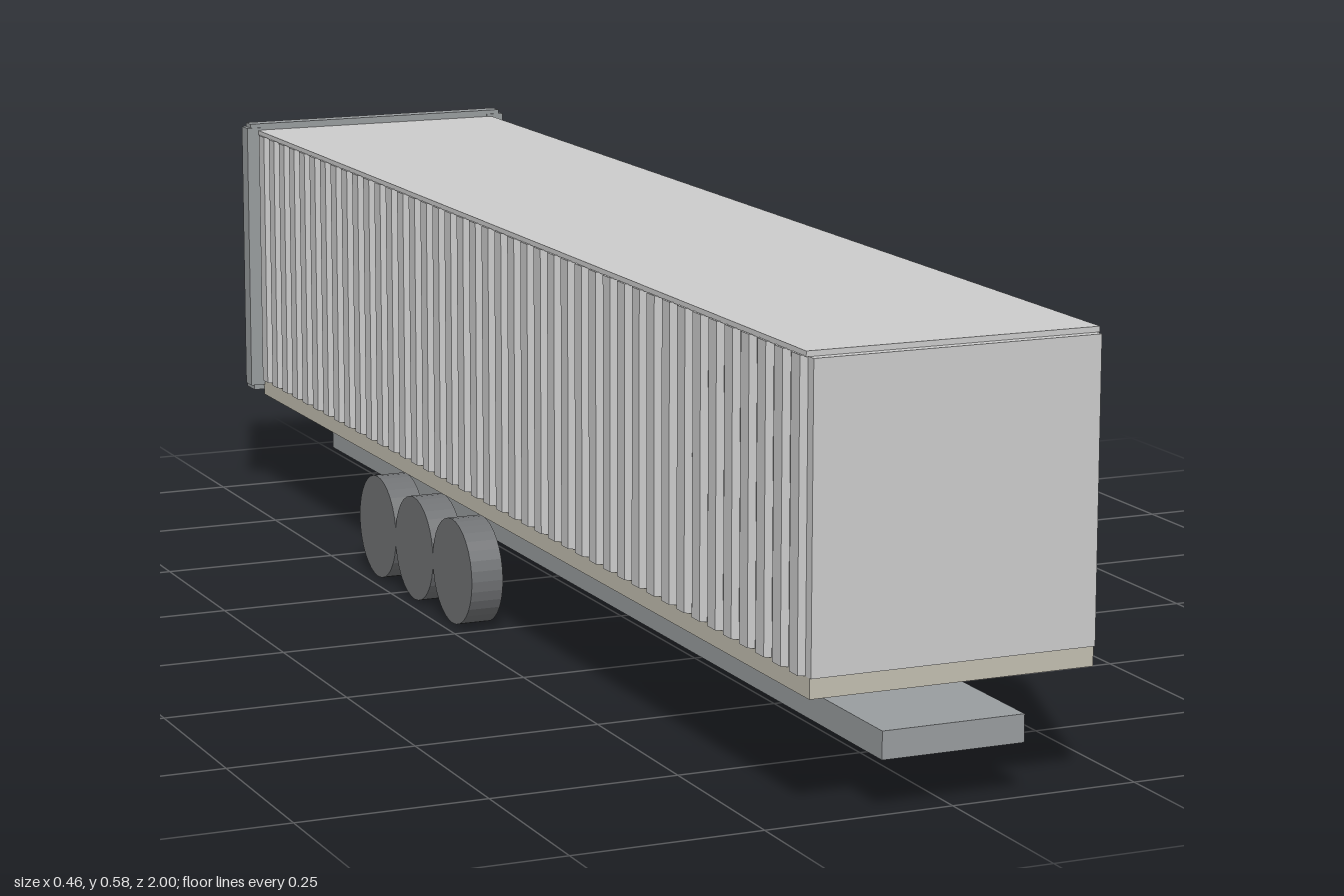
import * as THREE from 'three';

const GREY = new THREE.MeshStandardMaterial({ color: 0xcccccc, flatShading: true });
const FRAME = new THREE.MeshStandardMaterial({ color: 0x989c9e, flatShading: true });
const FLOOR = new THREE.MeshStandardMaterial({ color: 0xc2beb0, flatShading: true });
const TYRE = new THREE.MeshStandardMaterial({ color: 0x707274, flatShading: true });

// Box given by its lower and upper limits on each axis
function box(name, material, [x0, x1], [y0, y1], [z0, z1]) {
  const mesh = new THREE.Mesh(new THREE.BoxGeometry(x1 - x0, y1 - y0, z1 - z0), material);
  mesh.position.set((x0 + x1) / 2, (y0 + y1) / 2, (z0 + z1) / 2);
  mesh.name = name;
  return mesh;
}

// Thin trapezoid-corrugated sheet, extruded upwards
function corrugatedWall(side) {
  const z0 = -0.965, z1 = 0.985, count = 42, pitch = (z1 - z0) / count;
  const outer = 0.199, inner = 0.191, thickness = 0.003;
  const profile = [[0, inner], [0.26, inner], [0.38, outer], [0.88, outer]];
  const line = [];
  for (let i = 0; i < count; i++) {
    for (const [t, x] of profile) line.push([x, z0 + (i + t) * pitch]);
  }
  line.push([inner, z1]);
  const back = line.map(([x, z]) => [x - thickness, z]).reverse();
  const shape = new THREE.Shape([...line, ...back].map(([x, z]) => new THREE.Vector2(side * x, -z)));
  const geometry = new THREE.ExtrudeGeometry(shape, { depth: 0.386, bevelEnabled: false });
  geometry.rotateX(-Math.PI / 2);
  const mesh = new THREE.Mesh(geometry, GREY);
  mesh.position.y = 0.178;
  mesh.name = side > 0 ? 'leftWall' : 'rightWall';
  return mesh;
}

export function createModel() {
  const model = new THREE.Group();
  model.name = 'boxTrailer';

  // Cargo body: open at the back
  const body = new THREE.Group();
  body.name = 'cargoBody';
  body.add(
    box('floor', FLOOR, [-0.191, 0.191], [0.152, 0.178], [-0.965, 0.996]),
    box('roof', GREY, [-0.195, 0.195], [0.563, 0.57], [-0.965, 0.988]),
    box('frontWall', GREY, [-0.191, 0.191], [0.178, 0.563], [0.985, 1])
  );
  for (const side of [1, -1]) body.add(corrugatedWall(side));
  model.add(body);

  // Rear door frame
  const frame = new THREE.Group();
  frame.name = 'rearFrame';
  frame.add(
    box('frameHeader', FRAME, [-0.207, 0.207], [0.556, 0.58], [-0.985, -0.963]),
    box('frameSill', FRAME, [-0.207, 0.207], [0.16, 0.183], [-1, -0.965])
  );
  for (const side of [1, -1]) {
    const x = [side * 0.187, side * 0.213].sort((a, b) => a - b);
    frame.add(box(side > 0 ? 'leftPost' : 'rightPost', FRAME, x, [0.168, 0.574], [-0.987, -0.961]));
  }
  model.add(frame);

  // Chassis beam
  model.add(box('chassisBeam', FRAME, [-0.096, 0.096], [0.068, 0.104], [-0.915, 1]));

  // Three wheels on each side
  const wheelGeometry = new THREE.CylinderGeometry(0.0745, 0.0745, 0.046, 32).rotateZ(Math.PI / 2);
  const wheels = new THREE.Group();
  wheels.name = 'wheels';
  for (const side of [1, -1]) {
    for (const z of [-0.057, -0.205, -0.352]) {
      const wheel = new THREE.Mesh(wheelGeometry, TYRE);
      wheel.position.set(side * 0.208, 0.0745, z);
      wheel.name = side > 0 ? 'leftWheel' : 'rightWheel';
      wheels.add(wheel);
    }
  }
  model.add(wheels);

  return model;
}
